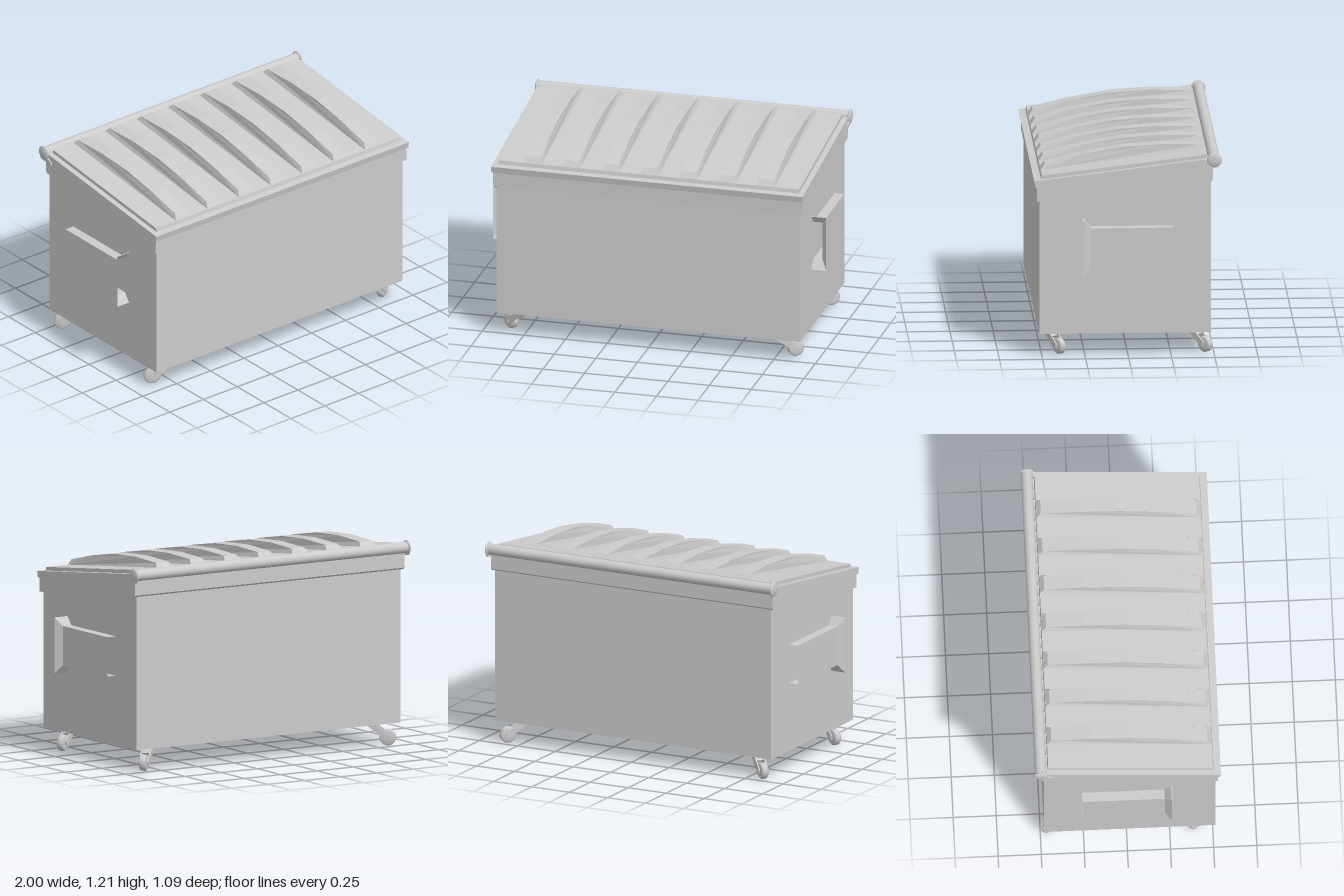
import * as THREE from 'three';

const grey = new THREE.MeshStandardMaterial({ color: 0xcccccc });
const thin = new THREE.MeshStandardMaterial({ color: 0xcccccc, side: THREE.DoubleSide });

function add(parent, name, geometry, material = grey) {
  const mesh = new THREE.Mesh(geometry, material);
  mesh.name = name;
  parent.add(mesh);
  return mesh;
}

// Side profile given as [z, y] points, extruded across x and centred on x = cx
function sideProfile(points, width, cx = 0) {
  const shape = new THREE.Shape(points.map(([z, y]) => new THREE.Vector2(z, y)));
  const g = new THREE.ExtrudeGeometry(shape, { depth: width, bevelEnabled: false });
  return g.rotateY(-Math.PI / 2).translate(cx + width / 2, 0, 0);
}

// Height of the sloping lid panel at depth z
const panelY = (z) => 1.07 + (0.5 - z) * 0.12;

// One lid rib: arched side profile, narrowed towards its top
function ribGeometry(x) {
  const g = sideProfile([
    [0.5, 1.068], [0.475, 1.105], [0.27, 1.155], [0.03, 1.198], [-0.2, 1.214],
    [-0.43, 1.209], [-0.455, 1.183],
  ], 0.108);
  const p = g.attributes.position;
  for (let i = 0; i < p.count; i++) {
    if (p.getY(i) > panelY(p.getZ(i)) + 0.005) p.setX(i, p.getX(i) * 0.78);
  }
  g.computeVertexNormals();
  return g.translate(x, 0, 0);
}

// Open sleeve for a lifting fork, with a flared mouth at the front
function pocketGeometry() {
  const sections = [ // z, outer x, bottom y, top y
    [-0.26, 0.968, 0.537, 0.768], [0.218, 0.968, 0.537, 0.768],
    [0.257, 1.0, 0.487, 0.815], [0.263, 1.0, 0.487, 0.815],
  ].map(([z, x, b, t]) => [[0.908, t, z], [x, t, z], [x, b, z], [0.908, b, z]]);
  const pos = [];
  for (let s = 0; s < sections.length - 1; s++) {
    for (let i = 0; i < 3; i++) {
      const a = sections[s][i], b = sections[s][i + 1];
      const c = sections[s + 1][i + 1], d = sections[s + 1][i];
      pos.push(...a, ...d, ...c, ...a, ...c, ...b);
    }
  }
  const g = new THREE.BufferGeometry();
  g.setAttribute('position', new THREE.Float32BufferAttribute(pos, 3));
  g.computeVertexNormals();
  return g;
}

// Swivel caster: pivot at the local origin, wheel trailing along +x
function caster(name) {
  const group = new THREE.Group();
  group.name = name;
  const trail = 0.115, axleY = 0.047;
  const plate = new THREE.Shape([
    [-0.03, 0.135], [0.03, 0.135], [trail + 0.016, 0.058],
    [trail + 0.012, 0.036], [trail - 0.012, 0.034],
  ].map(([x, y]) => new THREE.Vector2(x, y)));
  for (const z of [-0.03, 0.022]) {
    const g = new THREE.ExtrudeGeometry(plate, { depth: 0.008, bevelEnabled: false });
    add(group, 'forkPlate', g.translate(0, 0, z));
  }
  const bridge = add(group, 'forkBridge', new THREE.BoxGeometry(0.075, 0.012, 0.052));
  bridge.position.set(0.03, 0.115, 0);
  bridge.rotation.z = -0.7;
  const wheelProfile = [[0.008, -0.021], [0.038, -0.021], [0.047, -0.012],
    [0.047, 0.012], [0.038, 0.021], [0.008, 0.021]].map(([r, y]) => new THREE.Vector2(r, y));
  const wheel = add(group, 'wheel', new THREE.LatheGeometry(wheelProfile, 28).rotateX(Math.PI / 2));
  wheel.position.set(trail, axleY, 0);
  const axle = add(group, 'axle', new THREE.CylinderGeometry(0.012, 0.012, 0.066, 14).rotateX(Math.PI / 2));
  axle.position.set(trail, axleY, 0);
  return group;
}

export function createModel() {
  const model = new THREE.Group();
  model.name = 'wheeledWasteContainer';

  // Container body and its sloping rim
  add(model, 'body', sideProfile([[0.515, 0.13], [0.515, 0.98], [-0.48, 1.1], [-0.48, 0.13]], 1.82));
  add(model, 'rim', sideProfile([
    [0.528, 0.923], [0.53, 1.02], [-0.493, 1.14], [-0.493, 1.04], [-0.48, 1.03],
  ], 1.856));

  // Lid: flat border, raised panel and ribs
  add(model, 'lidBorder', sideProfile([
    [0.537, 1.005], [0.545, 1.043], [-0.465, 1.165], [-0.465, 1.125],
  ], 1.87));
  add(model, 'lidPanel', sideProfile([
    [0.506, 1.04], [0.5, panelY(0.5)], [-0.455, panelY(-0.455)], [-0.462, 1.155],
  ], 1.805));
  for (let i = -3; i <= 3; i++) add(model, 'lidRib', ribGeometry(i * 0.2335));

  // Hinge tube along the back
  const tube = add(model, 'hingeTube', new THREE.CylinderGeometry(0.033, 0.033, 1.88, 24).rotateZ(Math.PI / 2));
  tube.position.set(0, 1.16, -0.5);

  for (const side of [1, -1]) {
    // Hinge bracket with a shallow domed cap
    add(model, 'hingeBracket', sideProfile([
      [-0.43, 1.105], [-0.432, 1.125], [-0.46, 1.137], [-0.47, 1.185], [-0.5, 1.2], [-0.53, 1.18], [-0.535, 1.14], [-0.52, 1.117],
    ], 0.01, side * 0.937));
    const cap = add(model, 'hingeCap', new THREE.SphereGeometry(0.043, 24, 14));
    cap.scale.x = 0.28;
    cap.position.set(side * 0.938, 1.16, -0.5);

    // Lifting pocket
    const pocket = add(model, 'liftingPocket', pocketGeometry(), thin);
    pocket.scale.x = side;

    // Casters, all trailing outwards and to the back
    for (const [name, z, dz] of [['frontCaster', 0.457, -0.055], ['backCaster', -0.375, -0.08]]) {
      const c = caster(name);
      c.position.set(side * 0.755, 0, z);
      c.rotation.y = Math.atan2(-dz, side * 0.09);
      model.add(c);
    }
  }
  return model;
}
